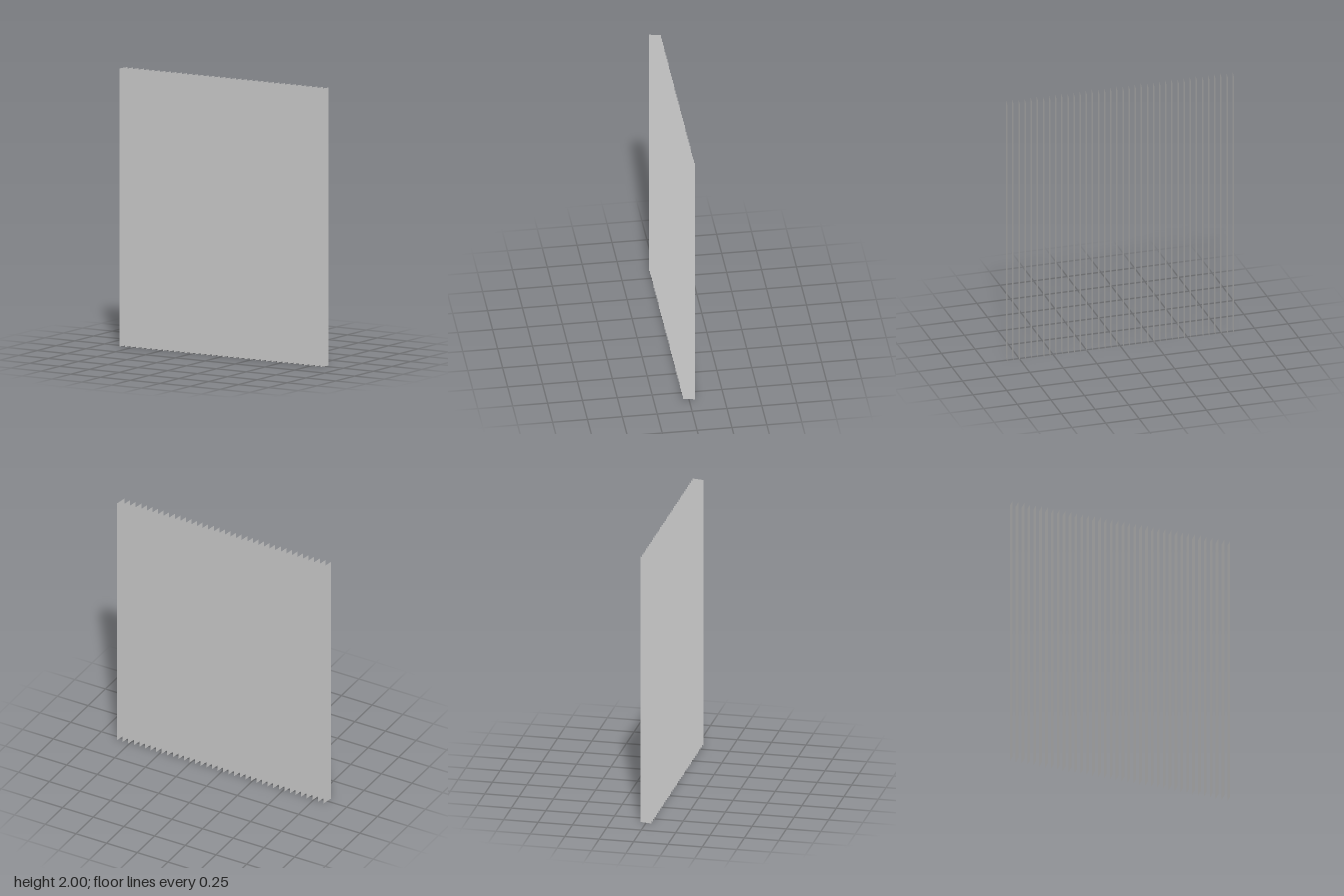
import * as THREE from 'three';

const COUNT = 38;
const HEIGHT = 2;
const SLAT_WIDTH = 0.084;
const TILT = THREE.MathUtils.degToRad(80);
const HALF_SPAN = 0.8415; // centre of the outermost slat

export function createModel() {
  const model = new THREE.Group();
  model.name = 'verticalBlind';

  const material = new THREE.MeshStandardMaterial({ color: 0xcccccc, side: THREE.DoubleSide });

  // One thin upright slat, turned almost edge-on to the front
  const slatGeometry = new THREE.PlaneGeometry(SLAT_WIDTH, HEIGHT);
  slatGeometry.rotateY(TILT);
  slatGeometry.translate(0, HEIGHT / 2, 0);

  // Evenly spaced row of slats
  for (let i = 0; i < COUNT; i++) {
    const slat = new THREE.Mesh(slatGeometry, material);
    slat.name = `slat${i + 1}`;
    slat.position.x = THREE.MathUtils.lerp(-HALF_SPAN, HALF_SPAN, i / (COUNT - 1));
    model.add(slat);
  }
  return model;
}
